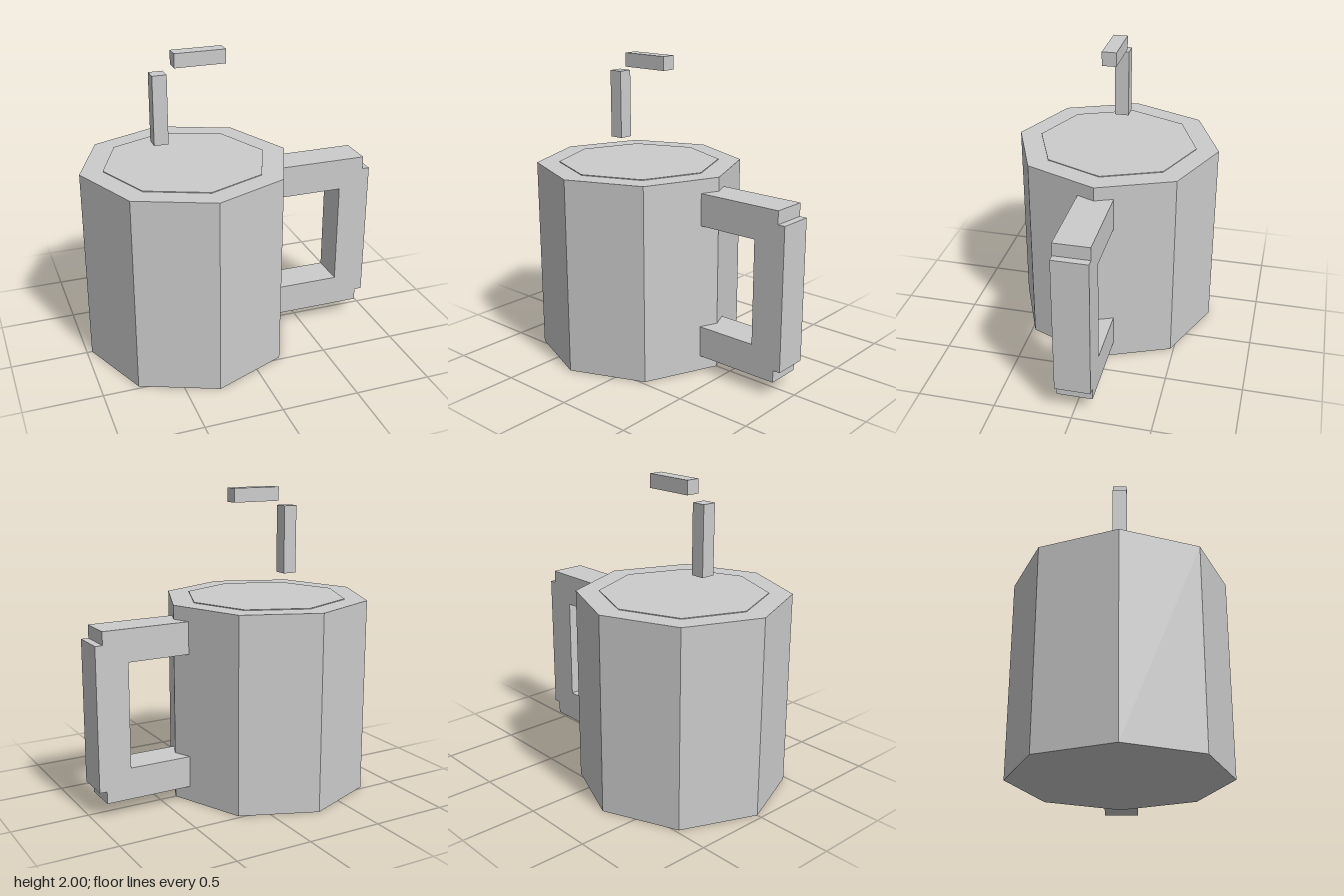
import * as THREE from 'three';

const material = new THREE.MeshStandardMaterial({ color: 0xcccccc, flatShading: true });

// Box given by its x and y limits and its full depth, centred on z = 0
function bar(name, x0, x1, y0, y1, depth) {
  const mesh = new THREE.Mesh(new THREE.BoxGeometry(x1 - x0, y1 - y0, depth), material);
  mesh.name = name;
  mesh.position.set((x0 + x1) / 2, (y0 + y1) / 2, 0);
  return mesh;
}

export function createModel() {
  const model = new THREE.Group();
  model.name = 'mug';
  const centreX = -0.29, radius = 0.677, height = 1.285;

  // Eight-sided body with corners on the x and z axes
  const body = new THREE.Mesh(new THREE.CylinderGeometry(radius, radius, height, 8), material);
  body.name = 'body';
  body.position.set(centreX, height / 2, 0);
  model.add(body);

  // Thin drink surface, almost flush with the rim
  const drink = new THREE.Mesh(new THREE.CylinderGeometry(0.53, 0.53, 0.01, 8), material);
  drink.name = 'drinkSurface';
  drink.position.set(centreX, height, 0);
  model.add(drink);

  // Square handle: two arms sunk into the body and a grip set slightly outward
  const handle = new THREE.Group();
  handle.name = 'handle';
  handle.add(
    bar('handleTopArm', 0.32, 0.915, 0.985, 1.195, 0.23),
    bar('handleBottomArm', 0.32, 0.915, 0.1, 0.305, 0.23),
    bar('handleGrip', 0.75, 0.963, 0.18, 1.11, 0.23)
  );
  model.add(handle);

  // Two floating straw pieces
  const straw = new THREE.Group();
  straw.name = 'straw';
  straw.add(
    bar('strawStem', -0.5, -0.408, 1.43, 1.875, 0.092),
    bar('strawTip', -0.36, -0.03, 1.91, 2.0, 0.092)
  );
  model.add(straw);

  return model;
}
